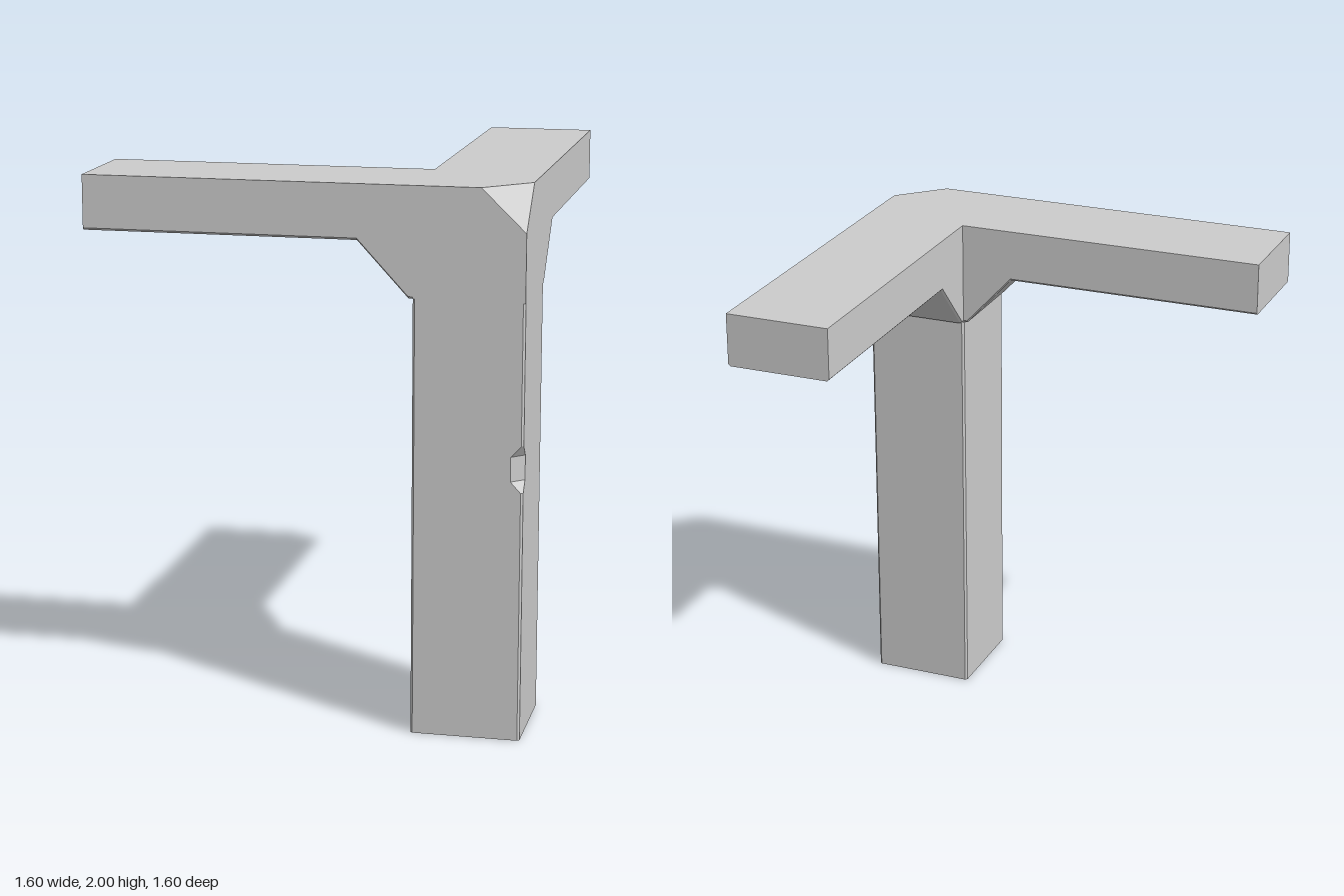
import * as THREE from 'three';
import { ConvexGeometry } from 'three/addons/geometries/ConvexGeometry.js';

const EDGE = 0.008; // fine bevel on the exposed edges

// Joins equal-sized convex rings of [x, y, z] points into a closed, faceted solid.
function loft(rings) {
  const pos = [];
  const tri = (a, b, c) => pos.push(...a, ...b, ...c);
  const n = rings[0].length;
  for (let j = 0; j < rings.length - 1; j++) {
    for (let i = 0; i < n; i++) {
      const k = (i + 1) % n;
      const [a, b, c, d] = [rings[j][i], rings[j][k], rings[j + 1][k], rings[j + 1][i]];
      tri(a, b, c);
      tri(a, c, d);
    }
  }
  const first = rings[0], last = rings[rings.length - 1];
  for (let i = 1; i < n - 1; i++) {
    tri(first[0], first[i + 1], first[i]);
    tri(last[0], last[i], last[i + 1]);
  }
  const geo = new THREE.BufferGeometry();
  geo.setAttribute('position', new THREE.Float32BufferAttribute(pos, 3));
  geo.computeVertexNormals();
  return geo;
}

// Square post section; the outer corner is cut by `cut`.
function postRing(y, cut) {
  const a = 0.4, b = 0.8, e = EDGE;
  return [
    [a + e, y, b], [b - cut, y, b], [b, y, b - cut], [b, y, a + e],
    [b - e, y, a], [a + e, y, a], [a, y, a + e], [a, y, b - e],
  ];
}

// Beam section with bevelled lower edges; `low` is the underside height.
function beamRing(x, low) {
  const a = 0.4, b = 0.8, e = EDGE;
  return [
    [x, 2, a], [x, 2, b], [x, low + e, b],
    [x, low, b - e], [x, low, a + e], [x, low + e, a],
  ];
}

export function createModel() {
  const group = new THREE.Group();
  const material = new THREE.MeshStandardMaterial({ color: 0xcccccc, flatShading: true });
  const add = (name, geometry) => {
    const mesh = new THREE.Mesh(geometry, material);
    mesh.name = name;
    group.add(mesh);
  };

  // Post with a small notch in its outer edge
  add('post', loft([
    postRing(0, EDGE), postRing(0.92, EDGE), postRing(0.96, 0.045),
    postRing(1.05, 0.045), postRing(1.09, EDGE), postRing(1.6, EDGE),
  ]));

  // Two matching beams, each with a sloping brace under its inner end
  const beam = loft([
    beamRing(-0.8, 1.8), beamRing(0.2, 1.8), beamRing(0.385, 1.6), beamRing(0.4, 1.6),
  ]);
  add('frontBeam', beam);
  add('sideBeam', beam.clone().rotateY(-Math.PI / 2).translate(1.2, 0, 0));

  // Corner block with its outer top corner sliced off
  const corner = [[0.64, 2, 0.8], [0.8, 2, 0.64], [0.8, 1.845, 0.8]];
  for (const x of [0.4, 0.8])
    for (const y of [1.6, 2])
      for (const z of [0.4, 0.8])
        if (x + y + z < 3.59) corner.push([x, y, z]);
  add('cornerBlock', new ConvexGeometry(corner.map((p) => new THREE.Vector3(...p))));

  return group;
}
